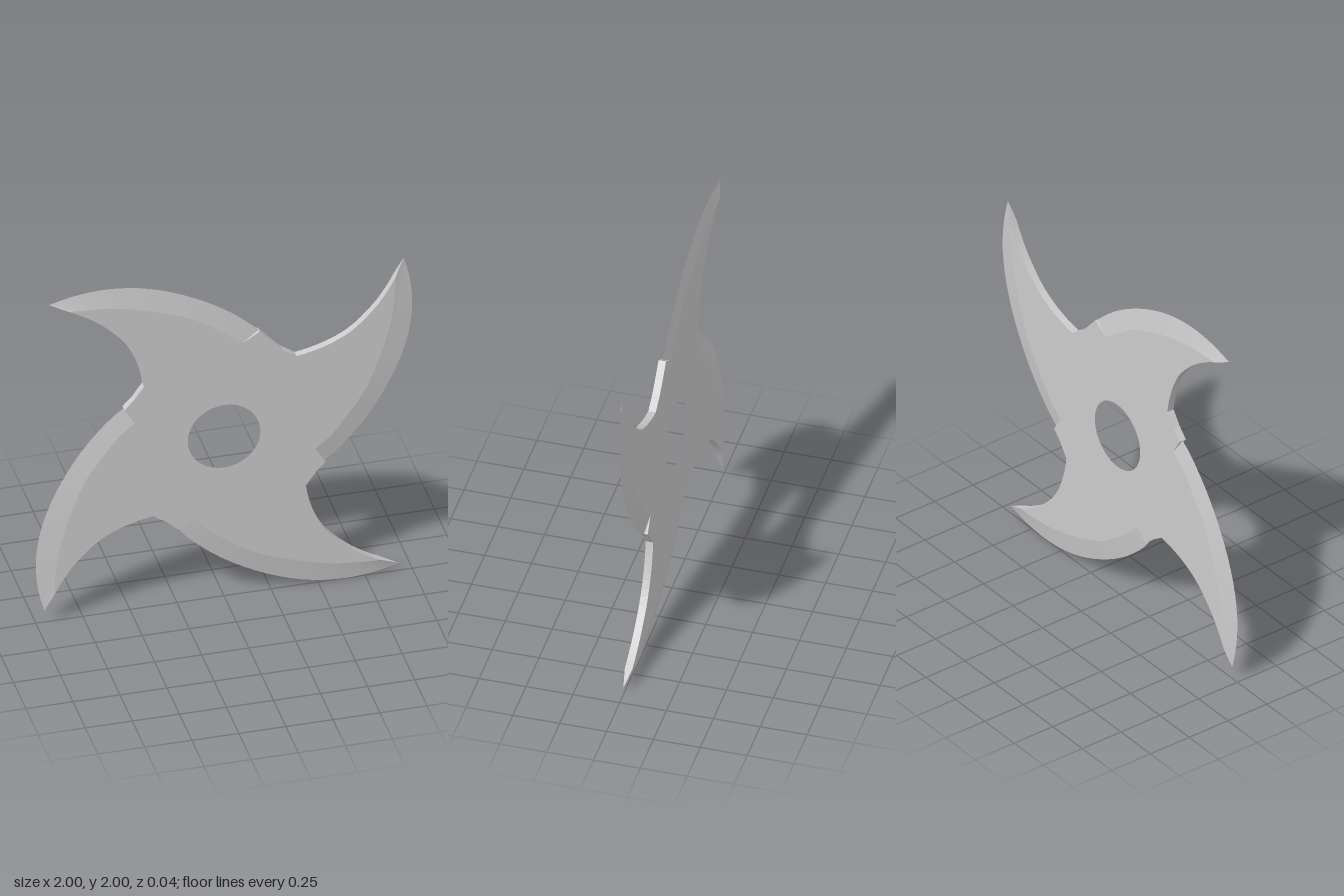
import * as THREE from 'three';

const HALF = 0.02; // half the plate thickness
const STEPS = 20;
const material = new THREE.MeshStandardMaterial({ color: 0xcccccc });

const spline = (pts, n) =>
  new THREE.SplineCurve(pts.map(([x, y]) => new THREE.Vector2(x, y))).getSpacedPoints(n);

// Upper blade, relative to the hub centre; the others are quarter turns of it
const concave = [[-0.43, 0.38], [-0.445, 0.46], [-0.485, 0.58], [-0.55, 0.69], [-0.66, 0.8], [-0.76, 0.87], [-0.83, 0.908]];
const outer = [[-0.93, 0.955], [-0.8, 0.987], [-0.63, 1], [-0.45, 0.978], [-0.27, 0.92], [-0.1, 0.835], [0.05, 0.735], [0.185, 0.615]];
const inner = [[-0.83, 0.908], [-0.7, 0.9], [-0.55, 0.88], [-0.36, 0.825], [-0.16, 0.745], [0, 0.635], [0.095, 0.56]];

// The first blade's sharpened edge stops a little earlier than the rest
function bladeCurves(index) {
  const full = index > 0;
  return {
    inside: spline(full ? [...inner, [0.16, 0.48]] : inner, STEPS),
    outside: spline(full ? [...outer, [0.25, 0.535]] : outer, STEPS),
    notch: (full ? [] : [[0.25, 0.54]]).concat([[0.305, 0.482], [0.345, 0.455]])
      .map(([x, y]) => new THREE.Vector2(x, y)),
  };
}

// Wedge from the plate faces to a sharp line at z = 0
function edgeGeometry({ inside, outside }) {
  const pos = [], idx = [];
  for (const side of [1, -1]) {
    const base = pos.length / 3;
    for (let i = 0; i <= STEPS; i++) {
      pos.push(inside[i].x, inside[i].y, side * HALF, outside[i].x, outside[i].y, 0);
      if (i === STEPS) continue;
      const a = base + i * 2, b = a + 1, c = a + 2, d = a + 3;
      if (side > 0) idx.push(a, c, b, b, c, d);
      else idx.push(a, b, c, b, d, c);
    }
  }
  // small triangle closing the concave side of the tip
  const n = pos.length / 3, p = inside[0], tip = outside[0];
  pos.push(p.x, p.y, HALF, tip.x, tip.y, 0, p.x, p.y, -HALF);
  idx.push(n, n + 1, n + 2);
  const geo = new THREE.BufferGeometry();
  geo.setAttribute('position', new THREE.Float32BufferAttribute(pos, 3));
  geo.setIndex(idx);
  geo.computeVertexNormals();
  return geo;
}

export function createModel() {
  const group = new THREE.Group();
  group.name = 'throwingStar';
  const centre = new THREE.Vector2();
  const outline = [];

  for (let k = 0; k < 4; k++) {
    const curves = bladeCurves(k);
    const angle = -k * Math.PI / 2;

    // plate outline for this quarter
    const quarter = [
      ...spline(concave, 16).slice(0, -1),
      ...curves.inside,
      curves.outside[STEPS],
      ...curves.notch,
    ];
    outline.push(...quarter.map((p) => p.clone().rotateAround(centre, angle)));

    // sharpened edge
    const edge = new THREE.Mesh(edgeGeometry(curves), material);
    edge.name = 'sharpenedEdge' + (k + 1);
    edge.rotation.z = angle;
    group.add(edge);
  }

  // flat plate with round hub hole
  const shape = new THREE.Shape(outline);
  const hole = new THREE.Path();
  hole.absarc(-0.005, 0, 0.193, 0, Math.PI * 2, true);
  shape.holes.push(hole);
  const geo = new THREE.ExtrudeGeometry(shape, { depth: HALF * 2, bevelEnabled: false, curveSegments: 20 });
  geo.translate(0, 0, -HALF);
  const plate = new THREE.Mesh(geo, material);
  plate.name = 'plate';
  group.add(plate);

  group.position.y = 1;
  return group;
}
